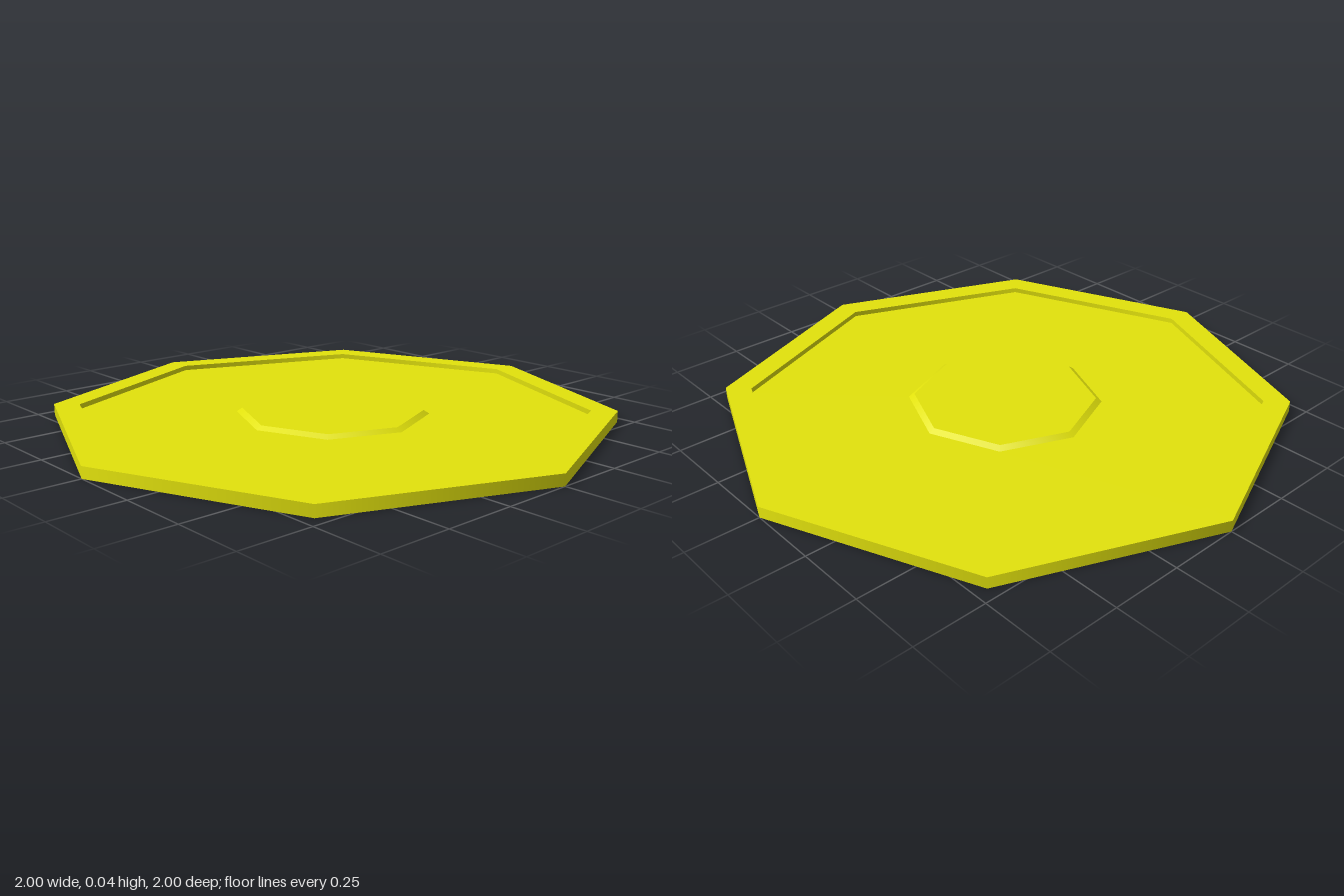
import * as THREE from 'three';

const SIDES = 8;
const material = new THREE.MeshStandardMaterial({ color: 0xe2e20c });

// One octagonal ring between two profile points; smooth around, sharp to its neighbours
function ring(name, from, to) {
  const points = [new THREE.Vector2(...from), new THREE.Vector2(...to)];
  const mesh = new THREE.Mesh(new THREE.LatheGeometry(points, SIDES), material);
  mesh.name = name;
  return mesh;
}

export function createModel() {
  const model = new THREE.Group();
  model.name = 'octagonalPlate';

  // Profile from the centre of the underside, out over the rim and back to the centre
  const profile = [
    [0, 0],
    ['underside', 1, 0],
    ['outerWall', 1, 0.04],
    ['rimTop', 0.907, 0.04],
    ['recessWall', 0.907, 0.022],
    ['recessFloor', 0.342, 0.022],
    ['raisedCentreBevel', 0.322, 0.035],
    ['raisedCentreTop', 0, 0.035],
  ];

  let previous = profile[0];
  for (const [name, radius, height] of profile.slice(1)) {
    model.add(ring(name, previous, [radius, height]));
    previous = [radius, height];
  }
  return model;
}
